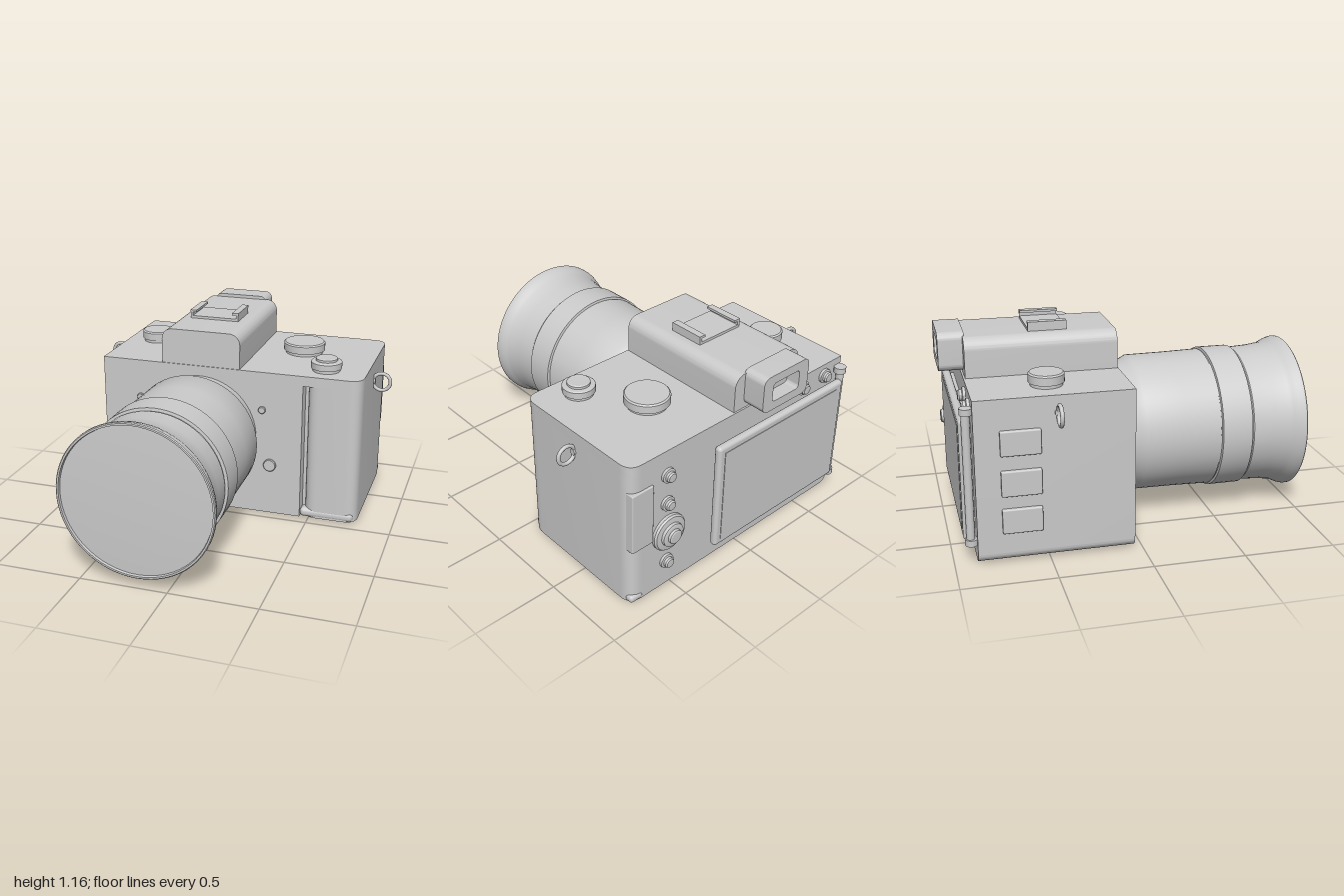
import * as THREE from 'three';
import { toCreasedNormals } from 'three/addons/utils/BufferGeometryUtils.js';
import { RoundedBoxGeometry } from 'three/addons/geometries/RoundedBoxGeometry.js';

const AXIS_X = -0.17, AXIS_Y = 0.495, FRONT = -0.045, BACK = -0.88;

export function createModel() {
  const model = new THREE.Group();
  const mat = new THREE.MeshStandardMaterial({ color: 0xcccccc, side: THREE.DoubleSide });

  const add = (name, geo, x = 0, y = 0, z = 0) => {
    const mesh = new THREE.Mesh(geo, mat);
    mesh.name = name;
    mesh.position.set(x, y, z);
    model.add(mesh);
    return mesh;
  };
  const v = (x, y) => new THREE.Vector2(x, y);
  const extrude = (shape, depth, bevel = 0) => toCreasedNormals(new THREE.ExtrudeGeometry(shape, {
    depth, bevelEnabled: bevel > 0, bevelSize: bevel, bevelThickness: bevel,
    bevelOffset: -bevel, bevelSegments: 3, curveSegments: 10,
  }), 0.6);
  const lathe = (pts) => toCreasedNormals(
    new THREE.LatheGeometry(pts.map(([r, h]) => v(r, h)), 64), 0.5);
  // Rectangle with corner radii: bottom left, bottom right, top right, top left
  const rect = (x0, y0, x1, y1, [bl, br, tr, tl], Type = THREE.Shape) => {
    const s = new Type();
    const corner = (cx, cy, r, a) => r
      ? s.absarc(cx, cy, r, a, a + Math.PI / 2, false) : s.lineTo(cx, cy);
    s.moveTo(x0 + bl, y0);
    corner(x1 - br, y0 + br, br, -Math.PI / 2);
    corner(x1 - tr, y1 - tr, tr, 0);
    corner(x0 + tl, y1 - tl, tl, Math.PI / 2);
    corner(x0 + bl, y0 + bl, bl, Math.PI);
    s.closePath();
    return s;
  };
  const box = (name, x0, x1, y0, y1, z0, z1, r = 0) => add(name,
    r ? new RoundedBoxGeometry(x1 - x0, y1 - y0, z1 - z0, 3, r)
      : new THREE.BoxGeometry(x1 - x0, y1 - y0, z1 - z0),
    (x0 + x1) / 2, (y0 + y1) / 2, (z0 + z1) / 2);

  // Main body, with its lower left edge rounded
  add('body', extrude(rect(-0.785, 0.012, 0.45, 0.9, [0.05, 0, 0, 0]), FRONT - BACK), 0, 0, BACK);

  // Grip end: plan outline (shape y is -z), grooved below the top plate
  const gripPlan = (grooved) => {
    const s = new THREE.Shape();
    s.moveTo(0.45, -BACK);
    s.lineTo(0.45, -FRONT);
    if (grooved) {
      s.lineTo(0.455, 0.1);
      s.lineTo(0.475, 0.1);
      s.quadraticCurveTo(0.485, 0.045, 0.55, 0.045);
    }
    s.lineTo(0.71, 0.045);
    s.quadraticCurveTo(0.79, 0.045, 0.79, 0.13);
    s.lineTo(0.79, 0.8);
    s.quadraticCurveTo(0.79, 0.88, 0.71, 0.88);
    s.closePath();
    return s;
  };
  [['grip', true, 0.015, 0.84], ['gripTop', false, 0.84, 0.9]].forEach(([name, groove, y0, y1]) => {
    add(name, extrude(gripPlan(groove), y1 - y0), 0, y0).rotation.x = -Math.PI / 2;
  });
  box('gripFrontFoot', 0.45, 0.77, 0.014, 0.07, -0.12, -0.042, 0.025);
  box('gripBackFoot', 0.7, 0.785, 0.014, 0.06, -0.885, -0.83, 0.02);

  // Viewfinder hump
  add('viewfinderHump', extrude(rect(-0.41, 0.88, 0.07, 1.11, [0, 0, 0.065, 0.065]), 0.82), 0, 0, -0.87);

  // Eyepiece frame with a recessed window
  const eye = rect(-0.17, -0.105, 0.17, 0.105, [0.04, 0.04, 0.04, 0.04]);
  eye.holes.push(rect(-0.1, -0.055, 0.1, 0.055, [0.02, 0.02, 0.02, 0.02], THREE.Path));
  add('eyepiece', extrude(eye, 0.14), AXIS_X, 1.025, -1);
  box('eyepieceWindow', AXIS_X - 0.11, AXIS_X + 0.11, 0.96, 1.09, -0.92, -0.88);

  // Accessory shoe: base and two lipped rails
  box('shoeBase', -0.31, -0.03, 1.1, 1.125, -0.52, -0.31);
  for (const s of [-1, 1]) {
    const rail = AXIS_X + s * 0.143, lip = AXIS_X + s * 0.132;
    box('shoeRail', rail - 0.007, rail + 0.007, 1.11, 1.16, -0.52, -0.31);
    box('shoeLip', lip - 0.02, lip + 0.02, 1.147, 1.16, -0.52, -0.31);
  }

  // Lens barrel turned about its axis
  const lens = add('lens', lathe([
    [0.345, -0.06], [0.345, -0.02], [0.352, 0.01], [0.37, 0.05], [0.388, 0.085],
    [0.39, 0.3], [0.395, 0.505], [0.39, 0.507], [0.39, 0.512], [0.405, 0.515], [0.405, 0.685],
    [0.388, 0.688], [0.388, 0.695], [0.392, 0.7], [0.398, 0.82], [0.41, 0.91],
    [0.42, 0.93], [0.432, 0.955], [0.44, 0.98], [0.44, 0.995], [0.435, 1],
    [0.425, 1], [0.422, 0.985], [0.315, 0.99], [0, 0.993],
  ]), AXIS_X, AXIS_Y, 0);
  lens.rotation.x = Math.PI / 2;

  // Top dials and shutter button
  const dial = (name, x, z, r) => add(name, lathe([
    [r * 0.9, -0.01], [r * 0.9, 0.015], [r, 0.018], [r, 0.062], [r - 0.008, 0.07], [0, 0.07],
  ]), x, 0.9, z);
  dial('leftDial', -0.6, -0.475, 0.095);
  dial('rightDial', 0.345, -0.51, 0.125);
  add('shutterButton', lathe([
    [0.08, -0.01], [0.08, 0.015], [0.09, 0.018], [0.09, 0.055], [0.083, 0.06],
    [0.063, 0.062], [0.063, 0.075], [0.055, 0.08], [0, 0.078],
  ]), 0.55, 0.9, -0.2);

  // Strap rings with small lugs
  for (const [s, x, y] of [[-1, -0.843, 0.81], [1, 0.837, 0.775]]) {
    add('strapRing', new THREE.TorusGeometry(0.052, 0.011, 10, 32), x, y, -0.45);
    const lug = add('strapLug', new THREE.CylinderGeometry(0.018, 0.018, 0.03, 16), s * 0.785, y, -0.45);
    lug.rotation.z = Math.PI / 2;
  }

  // Port doors on the left-hand end
  for (const [y0, y1] of [[0.175, 0.31], [0.38, 0.52], [0.6, 0.735]]) {
    box('portDoor', -0.806, -0.775, y0, y1, -0.75, -0.54, 0.008);
  }

  // Rear screen on its hinge post
  box('screen', -0.74, 0.24, 0.13, 0.79, -0.948, -0.903, 0.02);
  box('screenMount', -0.68, 0.2, 0.17, 0.75, -0.91, -0.87);
  box('screenGlass', -0.69, 0.2, 0.17, 0.75, -0.951, -0.94);
  add('hingePost', new THREE.CylinderGeometry(0.022, 0.022, 0.74, 20), -0.75, 0.485, -0.912);
  for (const y of [0.13, 0.84]) {
    add('hingeKnuckle', new THREE.CylinderGeometry(0.034, 0.034, 0.035, 20), -0.75, y, -0.908);
  }

  // Rear buttons and control wheel
  const rear = (name, x, y, profile) => {
    add(name, lathe(profile), x, y, BACK).rotation.x = -Math.PI / 2;
  };
  for (const [x, y] of [[-0.645, 0.83], [-0.46, 0.83], [0.54, 0.75], [0.54, 0.57], [0.54, 0.18]]) {
    rear('rearButton', x, y, [[0.042, -0.01], [0.042, 0.015], [0.03, 0.018], [0.03, 0.032], [0.024, 0.04], [0, 0.042]]);
  }
  rear('controlWheel', 0.53, 0.375, [
    [0.108, -0.01], [0.108, 0.016], [0.1, 0.026], [0.07, 0.03], [0.068, 0.046],
    [0.06, 0.05], [0.042, 0.05], [0.04, 0.064], [0.034, 0.068], [0, 0.069],
  ]);
  box('thumbRest', 0.64, 0.782, 0.37, 0.74, -0.892, -0.83, 0.006);

  // Front lens release and small studs
  const front = (name, x, y, r, h) => {
    add(name, lathe([[r, -0.01], [r, h - 0.004], [r - 0.004, h], [0, h]]), x, y, FRONT).rotation.x = Math.PI / 2;
  };
  front('lensRelease', 0.262, 0.325, 0.038, 0.014);
  front('frontStud', 0.21, 0.67, 0.022, 0.014);
  front('frontStud', -0.55, 0.67, 0.022, 0.014);

  // Tripod socket underneath
  add('tripodSocket', lathe([
    [0.058, 0.02], [0.058, 0.003], [0.055, 0], [0.034, 0], [0.03, 0.01], [0, 0.01],
  ]), AXIS_X, 0, -0.37);

  return model;
}
